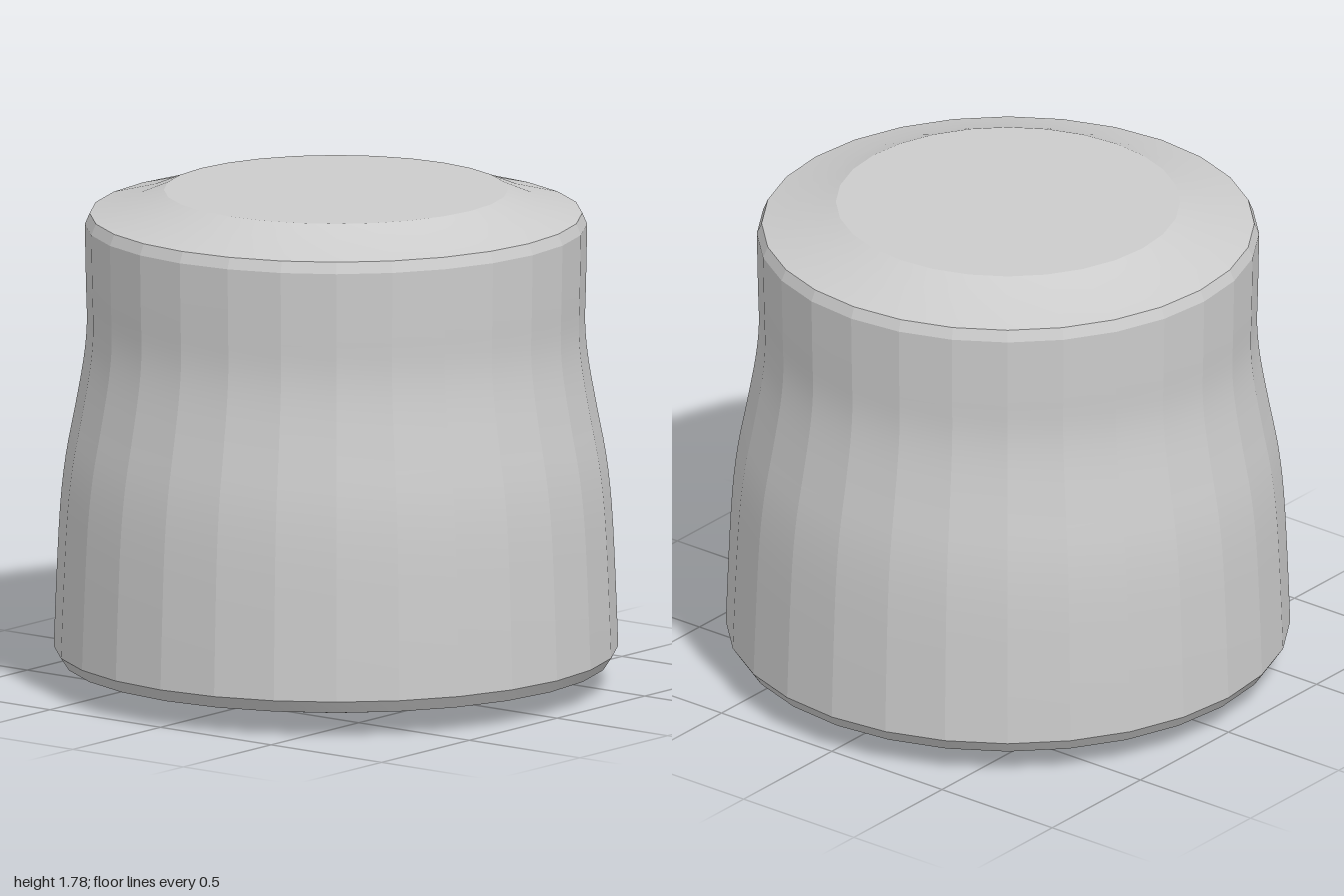
import * as THREE from 'three';
import { toCreasedNormals } from 'three/addons/utils/BufferGeometryUtils.js';

const SIDES = 28;
const v = (x, y) => new THREE.Vector2(x, y);

export function createModel() {
  const group = new THREE.Group();
  group.name = 'stopper';
  const grey = new THREE.MeshStandardMaterial({ color: 0xcccccc });
  grey.name = 'light grey';

  // Revolve a profile (listed bottom to top), keeping the long side facets crisp
  const addTurned = (name, points) => {
    const geometry = toCreasedNormals(new THREE.LatheGeometry(points, SIDES), 0.19);
    const mesh = new THREE.Mesh(geometry, grey);
    mesh.name = name;
    group.add(mesh);
  };

  // Shallow stepped underside with a chamfered lower edge
  addTurned('base', [v(0, 0), v(0.53, 0), v(0.70, 0.045), v(0.97, 0.09), v(1, 0.135)]);

  // Gently waisted wall
  const wall = new THREE.SplineCurve([
    v(1, 0.135), v(0.99, 0.4), v(0.977, 0.65), v(0.957, 0.83), v(0.925, 1.0),
    v(0.895, 1.17), v(0.883, 1.3), v(0.886, 1.45), v(0.89, 1.66),
  ]);
  addTurned('body', wall.getPoints(24));

  // Chamfered upper edge and raised flat lid
  addTurned('lid', [v(0.89, 1.66), v(0.873, 1.7), v(0.71, 1.743), v(0.61, 1.785), v(0, 1.785)]);

  return group;
}
